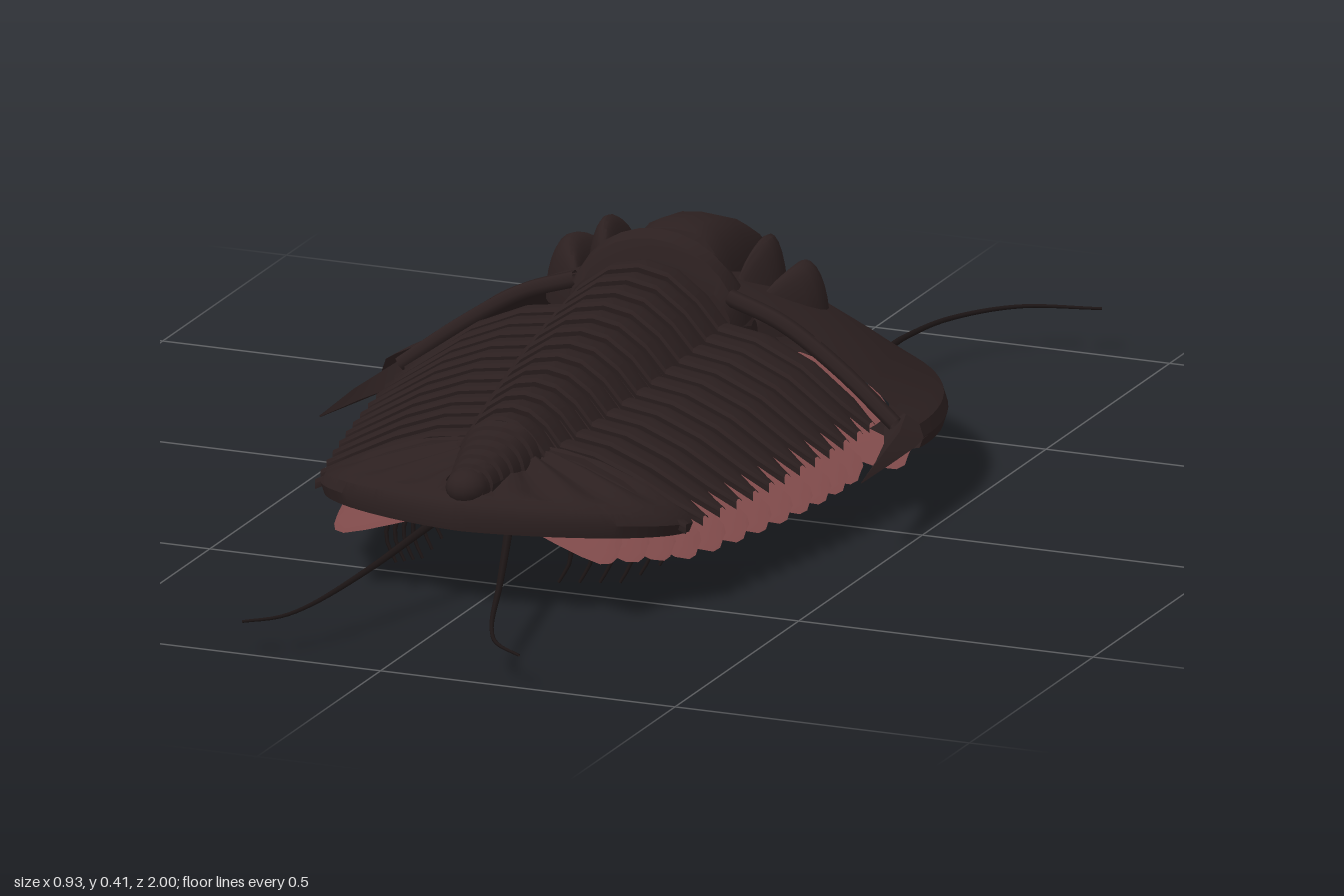
import * as THREE from 'three';
import { toCreasedNormals } from 'three/addons/utils/BufferGeometryUtils.js';

const V = (x, y, z) => new THREE.Vector3(x, y, z);
const { lerp, clamp } = THREE.MathUtils;

// Skin a grid of points: rows of equal length
function loft(rows, crease = 0.6) {
  const n = rows[0].length, idx = [];
  for (let i = 0; i < rows.length - 1; i++)
    for (let j = 0; j < n - 1; j++) {
      const a = i * n + j, b = a + n;
      idx.push(a, b, a + 1, b, b + 1, a + 1);
    }
  const g = new THREE.BufferGeometry().setFromPoints(rows.flat());
  g.setIndex(idx);
  return toCreasedNormals(g, crease);
}

// Arched ridge; sections are [z, centre x, half width, top y]
function mound(sections, base, power = 0.8, n = 14) {
  return loft(sections.map(([z, cx, w, top]) => Array.from({ length: n + 1 }, (_, j) => {
    const a = Math.PI * j / n, c = Math.cos(a);
    return V(cx - w * Math.sign(c) * Math.abs(c) ** power, base + (top - base) * Math.abs(Math.sin(a)) ** power, z);
  })));
}

// Tube that narrows along its length
function taper(points, radius, tip = 0.2, n = 24, sides = 6) {
  const curve = new THREE.CatmullRomCurve3(points);
  const g = new THREE.TubeGeometry(curve, n, radius, sides);
  const p = g.attributes.position, v = V(0, 0, 0);
  for (let i = 0; i <= n; i++) {
    const c = curve.getPointAt(i / n);
    for (let j = 0; j <= sides; j++) {
      const k = i * (sides + 1) + j;
      v.fromBufferAttribute(p, k).lerp(c, (1 - tip) * i / n);
      p.setXYZ(k, v.x, v.y, v.z);
    }
  }
  return g;
}

// Half disc swept from angle 0 to PI; profile gives [radius, y] pairs at each angle
function halfDisc(cz, rx, rz, profile, power = 1, n = 48) {
  return loft(Array.from({ length: n + 1 }, (_, i) => {
    const a = Math.PI * i / n, s = Math.sin(a), c = Math.cos(a);
    const x = Math.sign(c) * Math.abs(c) ** power;
    return profile(s, a).map(([r, y]) => V(rx * x * r, y, cz + rz * s * r));
  }));
}

export function createModel() {
  const model = new THREE.Group();
  const make = (name, color) => {
    const m = new THREE.MeshStandardMaterial({ color, side: THREE.DoubleSide });
    m.name = name;
    return m;
  };
  const shell = make('darkBrownShell', 0x2c2020);
  const gillMat = make('dustyPinkGill', 0x7c4848);
  const limbMat = make('blackBrownLimb', 0x1c1515);
  const add = (name, geometry, material = shell) => {
    const m = new THREE.Mesh(geometry, material);
    m.name = name;
    model.add(m);
  };

  // Head shield with thick rolled rim and underside lip
  add('headShield', halfDisc(-0.1, 0.46, -0.48, s => {
    const e = 0.108 - 0.028 * s;
    return [[0, 0.35], [0.2, 0.34], [0.4, 0.31], [0.6, 0.27], [0.8, 0.204], [0.88, 0.176],
      [0.95, e + 0.052 + 0.018 * s], [0.985, e + 0.042 + 0.016 * s], [1, e + 0.022 + 0.01 * s],
      [0.985, e + 0.003], [0.95, e], [0.8, e + 0.025]];
  }));
  add('glabella', mound([[-0.168, 0, 0.085, 0.2], [-0.17, 0, 0.085, 0.36], [-0.185, 0, 0.094, 0.393],
    [-0.22, 0, 0.097, 0.4], [-0.3, 0, 0.095, 0.388], [-0.36, 0, 0.092, 0.366], [-0.42, 0, 0.082, 0.333],
    [-0.46, 0, 0.066, 0.295], [-0.485, 0, 0.044, 0.255], [-0.497, 0, 0.005, 0.215]], 0.2, 0.68));
  add('neckRing', mound([[-0.173, 0, 0.14, 0.27], [-0.172, 0, 0.14, 0.36], [-0.15, 0, 0.145, 0.39],
    [-0.125, 0, 0.148, 0.41], [-0.1, 0, 0.145, 0.4], [-0.085, 0, 0.14, 0.36], [-0.084, 0, 0.14, 0.27]], 0.27, 1));
  add('mouthPlate', new THREE.SphereGeometry(1, 20, 12).scale(0.1, 0.035, 0.13).translate(0, 0.135, -0.36));

  for (const s of [1, -1]) {
    // Crescent eyes, eye lobes, rear border and cheek spines
    const crescent = (cx, bow, w, h, z0, z1) => Array.from({ length: 11 }, (_, i) => {
      const k = Math.sin(Math.PI * i / 10);
      return [lerp(z0, z1, i / 10), s * (cx + bow * k), 0.006 + w * k, 0.27 + h * Math.sqrt(k)];
    });
    add('eyeLobe', mound(crescent(0.108, 0.028, 0.026, 0.113, -0.32, -0.165), 0.25, 1));
    add('eye', mound(crescent(0.15, 0.046, 0.036, 0.076, -0.33, -0.155), 0.24, 1));
    add('rearBorder', taper([V(s * 0.13, 0.32, -0.1), V(s * 0.22, 0.288, -0.1), V(s * 0.32, 0.226, -0.095),
      V(s * 0.42, 0.152, -0.08)], 0.014, 0.9));
    add('cheekSpine', loft([[-0.13, 0.38, 0.458, 0.128, 0.03], [-0.06, 0.41, 0.463, 0.125, 0.022],
      [0.04, 0.437, 0.463, 0.125, 0.015], [0.15, 0.459, 0.461, 0.125, 0.002]].map(([z, a, b, y, h]) =>
      [V(s * a, y, z), V(s * (a + b) / 2, y + h, z), V(s * b, y, z), V(s * (a + b) / 2, y - h * 0.6, z), V(s * a, y, z)])));
  }

  // Overlapping body segments: [x, y] half sections at the neck and the tail
  const neck = [[0, 0.372], [0.05, 0.362], [0.1, 0.325], [0.135, 0.283], [0.2, 0.274], [0.28, 0.24], [0.35, 0.19], [0.395, 0.158]];
  const tail = [[0, 0.277], [0.025, 0.272], [0.05, 0.254], [0.072, 0.224], [0.13, 0.217], [0.2, 0.192], [0.27, 0.16], [0.315, 0.138]];
  const sweep = [0, 0, 0, 0, 0.002, 0.006, 0.012, 0.034];
  const depth = [1, 1, 1, 0.96, 1, 1, 0.96, 0.45];
  const count = 13, pitch = 0.046;
  for (let k = 0; k < count; k++) {
    const t = k / (count - 1), z0 = -0.095 + k * pitch;
    const half = neck.map((p, i) => ({ x: lerp(p[0], tail[i][0], t ** 1.5), y: lerp(p[1], tail[i][1], t), i }));
    const full = [...half.slice(1).reverse().map(p => ({ ...p, x: -p.x })), ...half];
    const row = (f, dy) => full.map(p => V(p.x, p.y + dy, z0 + sweep[p.i] + f * pitch * depth[p.i]));
    add('bodySegment', loft([row(0, -0.006), row(0.3, 0), row(0.6, 0.003),
      row(1.12, 0.004), row(1.2, -0.002), row(1.14, -0.012)], 0.5));
  }

  // Tail shield with fanned ribs and a ringed axis
  add('tailShield', halfDisc(0.48, 0.312, 0.208, (s, a) => {
    const e = 0.124 + 0.022 * s, rib = 0.005 * Math.cos(a * 16);
    return [[0, 0.235], [0.3, 0.224 + rib], [0.5, 0.212 + rib], [0.75, 0.184 + 0.018 * s + rib],
      [0.9, e + 0.038 + 0.015 * s], [0.97, e + 0.026 + 0.015 * s], [1, e + 0.012 + 0.008 * s], [0.98, e - 0.004], [0.85, e]];
  }, 1.4, 96));
  for (let k = 0; k < 6; k++) {
    const z = 0.5 + k * 0.026, w = 0.07 - k * 0.007, y = 0.274 - k * 0.008;
    add('tailRing', mound([[z, 0, w, y - 0.008], [z + 0.013, 0, w, y], [z + 0.03, 0, w - 0.003, y - 0.004],
      [z + 0.034, 0, w - 0.008, y - 0.016]], 0.19));
  }
  add('tailAxisTip', new THREE.SphereGeometry(0.034, 14, 10).scale(1, 0.85, 1).translate(0, 0.205, 0.65));

  // Soft belly under the axis
  add('belly', loft([[-0.4, 0.07, 0.17], [-0.1, 0.11, 0.17], [0.25, 0.09, 0.165], [0.64, 0.04, 0.16]].map(([z, w, y]) =>
    [V(-w, y + 0.05, z), V(-w * 0.8, y, z), V(0, y - 0.015, z), V(w * 0.8, y, z), V(w, y + 0.05, z)])));

  // Paired walking legs, and broad gill leaves that slope down and outward
  const limbs = 17;
  for (let k = 0; k < limbs; k++) {
    const t = k / (limbs - 1), z = lerp(-0.36, 0.59, t);
    const foot = lerp(0.245, 0.15, t ** 1.8), root = lerp(0.08, 0.035, t);
    const lift = t > 0.8 ? (t - 0.8) * 0.25 : 0;
    const underHead = z < -0.08;
    const outer = underHead ? lerp(0.29, 0.43, clamp(t * 4.2, 0, 1)) : lerp(0.375, 0.24, clamp((t - 0.35) / 0.65, 0, 1) ** 1.7);
    const endY = underHead ? lerp(0.07, 0.09, clamp(t * 4.2, 0, 1)) : 0.075 + lift * 0.8;
    for (const s of [1, -1]) {
      add('leg', taper([V(s * root, 0.155, z), V(s * lerp(root, foot, 0.55), 0.11 + lift, z + 0.004),
        V(s * foot, 0.075 + lift, z + 0.01), V(s * (foot + 0.006), 0.04 + lift, z + 0.014),
        V(s * (foot - 0.012), 0.003 + lift, z + 0.018)], 0.0075, 0.35, 12, 5), limbMat);
      const rows = [[0, 0.25], [0.2, 0.6], [0.45, 0.85], [0.7, 1], [0.88, 1], [0.97, 0.75], [1, 0.4]].map(([u, w]) => {
        const x = lerp(root + 0.02, outer, u), y = lerp(0.15, endY, u ** 1.3);
        return [-1, -0.4, 0.4, 1].map(v =>
          V(s * x, y - v * w * 0.022 + (Math.abs(v) < 1 ? 0.004 * w : 0), z + 0.015 * u + v * w * 0.028));
      });
      add('gill', loft(rows), gillMat);
    }
  }

  // Antennae at the head and feelers at the tail
  for (const s of [1, -1]) {
    add('antenna', taper([V(s * 0.06, 0.12, -0.44), V(s * 0.105, 0.085, -0.56), V(s * 0.14, 0.068, -0.66),
      V(s * 0.15, 0.07, -0.77), V(s * 0.18, 0.074, -0.87), V(s * 0.26, 0.078, -0.96), V(s * 0.385, 0.078, -1)], 0.008, 0.3, 40), limbMat);
    add('tailFeeler', taper([V(s * 0.045, 0.15, 0.58), V(s * 0.075, 0.125, 0.67), V(s * 0.11, 0.095, 0.78),
      V(s * 0.155, 0.068, 0.92), V(s * 0.185, 0.06, 0.97), V(s * 0.235, 0.055, 1)], 0.008, 0.3, 32), limbMat);
  }
  return model;
}
